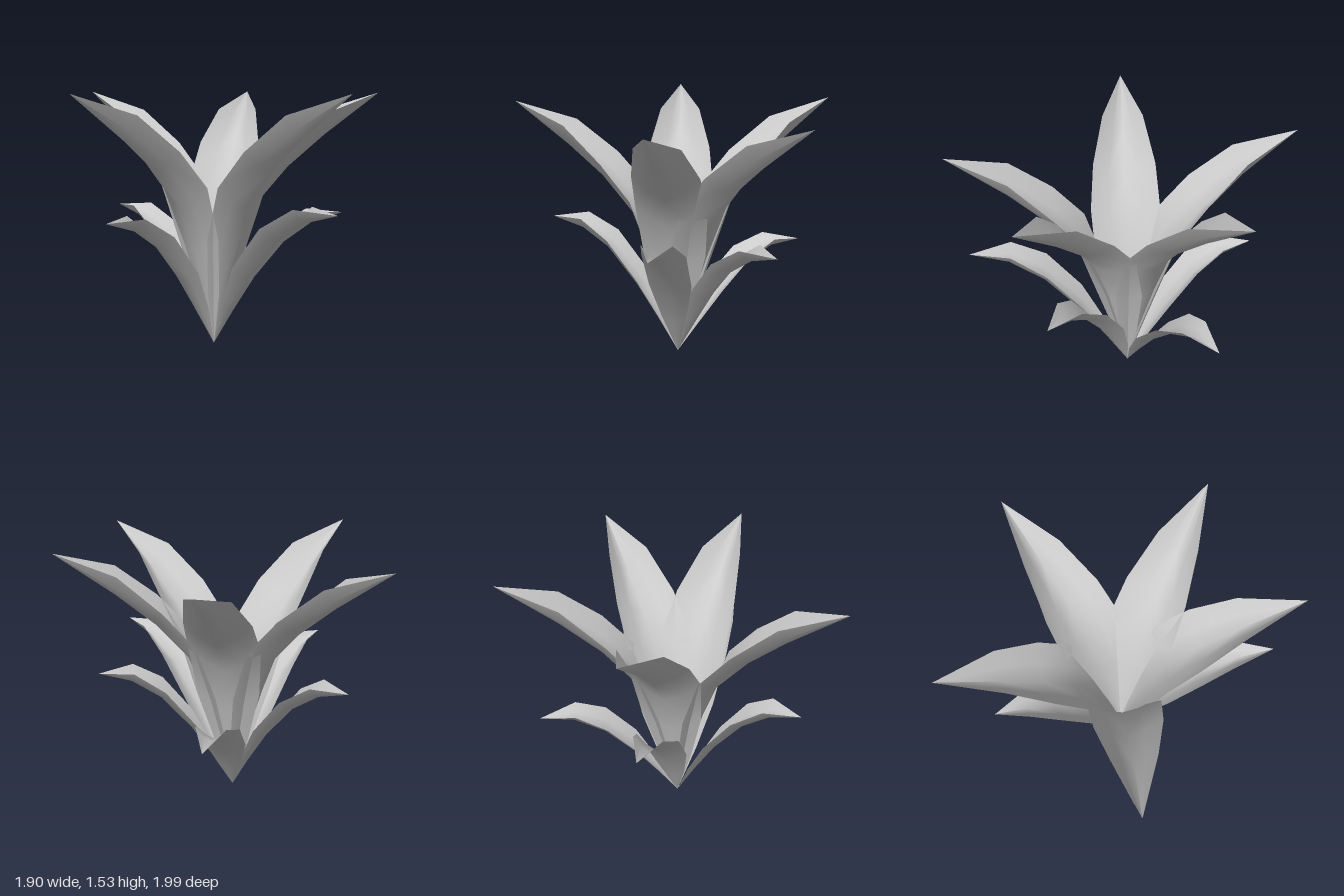
import * as THREE from 'three';

// Leaf sections from root to tip: [midrib reach, midrib height, rim reach, rim height, half width]
const TALL = [
  [0, 0, 0, 0, 0],
  [0.06, 0.26, 0.05, 0.32, 0.1],
  [0.15, 0.58, 0.13, 0.68, 0.185],
  [0.26, 0.87, 0.24, 1.0, 0.21],
  [0.45, 1.09, 0.42, 1.21, 0.19],
  [0.67, 1.28, 0.66, 1.415, 0.125],
  [1, 1.53, 1, 1.53, 0],
];
const SHORT = [
  [0, 0, 0, 0, 0],
  [0.12, 0.21, 0.11, 0.25, 0.075],
  [0.25, 0.42, 0.235, 0.49, 0.125],
  [0.43, 0.64, 0.41, 0.72, 0.125],
  [0.6, 0.76, 0.585, 0.835, 0.085],
  [0.79, 0.82, 0.79, 0.82, 0],
];
const ACROSS = [-1, -0.5, 0, 0.5, 1];

// A trough-shaped blade leaning out along +x
function leafGeometry(sections, reach, height, droop) {
  const positions = [], index = [], n = ACROSS.length, last = sections.length - 1;
  sections.forEach(([mr, my, er, ey, w], i) => {
    const sag = droop * Math.pow(i / last, 4);
    for (const t of ACROSS) {
      const k = Math.pow(Math.abs(t), 1.5);
      positions.push((mr + (er - mr) * k) * reach, (my + (ey - my) * k) * height - sag, -t * w);
    }
  });
  for (let i = 0; i < last; i++) {
    for (let j = 0; j < n - 1; j++) {
      const a = i * n + j, b = a + 1, c = a + n, d = c + 1;
      // Root and tip close to a point, so only one triangle is needed there
      const left = j < n / 2 - 1;
      if (i === 0) index.push(a, d, c);
      else if (i === last - 1) index.push(a, b, c);
      else if (left) index.push(a, b, d, a, d, c);
      else index.push(a, b, c, b, d, c);
    }
  }
  const geometry = new THREE.BufferGeometry();
  geometry.setAttribute('position', new THREE.Float32BufferAttribute(positions, 3));
  geometry.setIndex(index);
  geometry.computeVertexNormals();
  return geometry;
}

export function createModel() {
  const plant = new THREE.Group();
  plant.name = 'plant';
  const material = new THREE.MeshStandardMaterial({ color: 0xcccccc, side: THREE.DoubleSide });

  // Direction of each pair of leaves, with reach, height and droop of the short one
  const pairs = [
    { x: -0.01, z: -1, short: [0.98, 0.98, 0] },
    { x: 0.91, z: -0.4, short: [1.05, 0.84, 0.05] },
    { x: 0.69, z: 0.72, short: [1, 0.98, 0] },
    { x: -0.14, z: 1, short: [1.17, 1.09, 0] },
    { x: -0.99, z: -0.19, short: [1, 1.01, 0] },
  ];
  const addLeaf = (name, geometry, x, z) => {
    const leaf = new THREE.Mesh(geometry, material);
    leaf.name = name;
    leaf.position.x = 0.04;
    leaf.rotation.y = Math.atan2(-z, x);
    plant.add(leaf);
  };
  pairs.forEach(({ x, z, short }, i) => {
    addLeaf(`upperLeaf${i + 1}`, leafGeometry(TALL, 1, 1, 0), x, z);
    addLeaf(`lowerLeaf${i + 1}`, leafGeometry(SHORT, ...short), x, z);
  });
  return plant;
}
